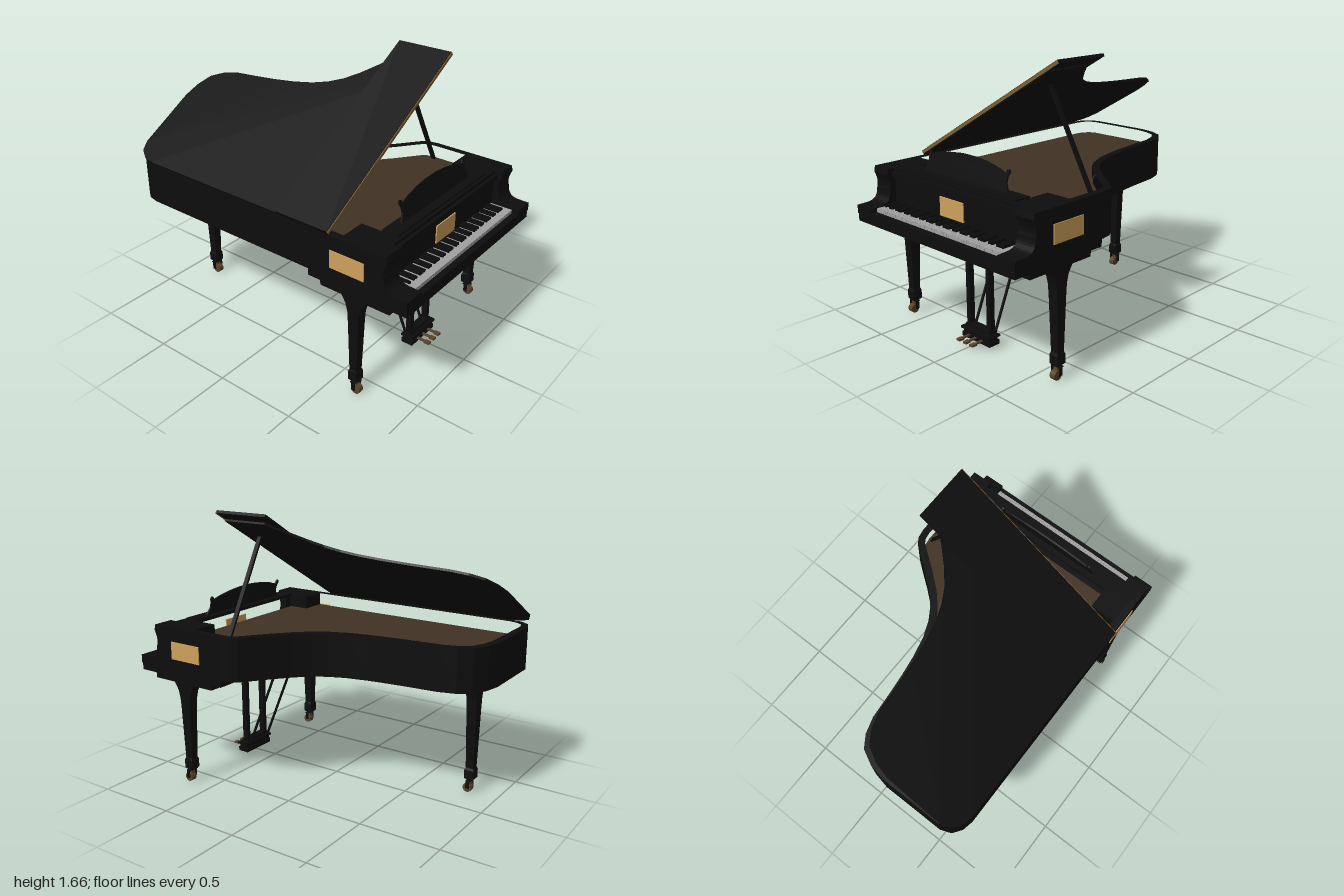
import * as THREE from 'three';
import { mergeGeometries } from 'three/addons/utils/BufferGeometryUtils.js';

const mat = (name, color) => Object.assign(new THREE.MeshStandardMaterial({ color }), { name });

export function createModel() {
  const black = mat('black lacquer', 0x0d0d0d);
  const brown = mat('soundboard brown', 0x413223);
  const gold = mat('gold plate', 0xcfa15c);
  const brass = mat('aged brass', 0x58432a);
  const trim = mat('lid edge brass', 0x7c5d32);
  const ivory = mat('ivory keys', 0xa2a2a2);

  const model = new THREE.Group();
  model.name = 'grandPiano';
  const add = (name, geo, material, parent = model) => {
    const m = new THREE.Mesh(geo, material);
    m.name = name;
    parent.add(m);
    return m;
  };
  // Box given by its min and max along each axis
  const span = (x0, x1, y0, y1, z0, z1) =>
    new THREE.BoxGeometry(x1 - x0, y1 - y0, z1 - z0)
      .translate((x0 + x1) / 2, (y0 + y1) / 2, (z0 + z1) / 2);
  const shapeOf = pts => new THREE.Shape(pts.map(([x, z]) => new THREE.Vector2(x, -z)));
  // Plan shape (x, z) raised from y0 to y1
  const slab = (shape, y0, y1) =>
    new THREE.ExtrudeGeometry(shape, { depth: y1 - y0, bevelEnabled: false })
      .rotateX(-Math.PI / 2).translate(0, y0, 0);
  // Straight bar between two points
  const bar = (a, b, w, d) => {
    const A = new THREE.Vector3(...a), B = new THREE.Vector3(...b);
    const dir = B.clone().sub(A);
    const g = new THREE.BoxGeometry(w, dir.length(), d);
    g.applyQuaternion(new THREE.Quaternion().setFromUnitVectors(
      new THREE.Vector3(0, 1, 0), dir.clone().normalize()));
    const c = A.add(B).multiplyScalar(0.5);
    return g.translate(c.x, c.y, c.z);
  };

  // Plan of the case: straight spine, rounded tail, bent side
  const tail = [[-0.66, -0.85], [-0.645, -0.92], [-0.605, -0.975], [-0.54, -1], [-0.14, -1],
    [-0.04, -0.98], [0.05, -0.935], [0.1, -0.86], [0.13, -0.76], [0.145, -0.6], [0.16, -0.47],
    [0.18, -0.34], [0.21, -0.21], [0.25, -0.11], [0.3, -0.03], [0.37, 0.045], [0.47, 0.13], [0.575, 0.21]];
  const outline = [[-0.66, 0.82], ...tail, [0.625, 0.25], [0.65, 0.29], [0.66, 0.35], [0.66, 0.82]];
  const inset = (pts, d) => pts.map(([x, z], i) => {
    const a = pts[Math.max(i - 1, 0)], b = pts[Math.min(i + 1, pts.length - 1)];
    const tx = b[0] - a[0], tz = b[1] - a[1], l = Math.hypot(tx, tz);
    return [x - d * tz / l, Math.min(z + d * tx / l, 0.7)];
  });

  // Case
  const rim = shapeOf(outline);
  rim.holes.push(shapeOf(inset(outline, 0.045)));
  add('rim', slab(rim, 0.72, 0.98), black);
  add('caseBottom', slab(shapeOf(outline), 0.72, 0.74), black);
  add('soundboard', slab(shapeOf(inset(outline, 0.04)), 0.89, 0.9), brown);
  add('keybed', span(-0.655, 0.655, 0.675, 0.745, 0.36, 0.998), black);

  // Arms with a curved front, corner blocks and side plates
  const arm = new THREE.Shape();
  arm.moveTo(0.8, 0.72);
  arm.lineTo(1, 0.72);
  arm.lineTo(1, 0.77);
  arm.lineTo(0.93, 0.772);
  arm.bezierCurveTo(0.88, 0.775, 0.86, 0.8, 0.858, 0.85);
  arm.bezierCurveTo(0.845, 0.89, 0.86, 0.92, 0.872, 0.945);
  arm.lineTo(0.865, 0.98);
  arm.lineTo(0.8, 0.98);
  for (const s of [-1, 1]) {
    const g = new THREE.ExtrudeGeometry(arm, { depth: 0.13, bevelEnabled: false, curveSegments: 8 });
    add('arm', g.rotateY(-Math.PI / 2).translate(s > 0 ? 0.66 : -0.53, 0, 0), black);
    const block = new THREE.BoxGeometry(0.16, 0.1, 0.14).translate(s * 0.54, 0.93, 0.64);
    add('cornerBlock', block, black);
    add('sidePlate', new THREE.BoxGeometry(0.006, 0.108, 0.22).translate(s * 0.662, 0.84, 0.625), gold);
  }
  add('fallboardRail', span(-0.53, 0.53, 0.93, 0.96, 0.81, 0.84), black);
  add('frontPlate', span(-0.115, 0.08, 0.787, 0.897, 0.819, 0.827), gold);

  // Keyboard
  const whites = [], blacks = [], pitch = 1.045 / 52;
  for (let i = 0; i < 52; i++) {
    const x = -0.525 + i * pitch;
    whites.push(span(x + 0.0006, x + pitch - 0.0006, 0.744, 0.768, 0.82, 0.96));
    if ([0, 2, 3, 5, 6].includes(i % 7) && i < 51)
      blacks.push(span(x + pitch - 0.006, x + pitch + 0.006, 0.76, 0.782, 0.82, 0.915));
  }
  add('whiteKeys', mergeGeometries(whites), ivory);
  add('blackKeys', mergeGeometries(blacks), black);

  // Music desk
  add('deskShelf', span(-0.46, 0.46, 0.975, 0.99, 0.7, 0.8), black);
  const half = [[0.345, 0], [0.335, 0.025], [0.322, 0.05], [0.322, 0.085], [0.333, 0.105],
    [0.328, 0.122], [0.313, 0.12], [0.303, 0.098], [0.25, 0.115], [0.15, 0.135], [0.06, 0.144]];
  const desk = new THREE.Shape([...half, ...half.map(([x, y]) => [-x, y]).reverse()]
    .map(p => new THREE.Vector2(...p)));
  const deskMesh = add('musicDesk', new THREE.ExtrudeGeometry(desk, { depth: 0.01, bevelEnabled: false }), black);
  deskMesh.position.set(0, 0.988, 0.738);
  deskMesh.rotation.x = -0.27;

  // Raised lid with its front flap folded back on top
  const lid = new THREE.Group();
  lid.name = 'lid';
  lid.position.set(-0.66, 0.979, 0);
  lid.rotation.z = Math.PI / 6;
  model.add(lid);
  const lidPlan = [[-0.66, 0.505], ...tail, [0.575, 0.505]].map(([x, z]) => [x + 0.66, z]);
  add('mainLid', slab(shapeOf(lidPlan), 0, 0.014), black, lid);
  add('frontFlap', span(0, 1.32, 0.012, 0.029, 0.15, 0.506), black, lid);
  add('flapEdge', span(0, 1.32, 0.008, 0.026, 0.505, 0.511), trim, lid);
  add('lidProp', bar([0.6, 0.9, 0.355], [0.275, 1.5, 0.355], 0.014, 0.026), black);

  // Legs: flared outline, tapered across, on casters
  const leg = (name, x, z, top, turn) => {
    const g = new THREE.Group();
    g.name = name;
    g.position.set(x, 0, z);
    model.add(g);
    const side = [[0.023, 0.085], [0.03, 0.092], [0.03, 0.145], [0.024, 0.16], [0.034, top - 0.17],
      [0.038, top - 0.1], [0.05, top - 0.05], [0.068, top - 0.02], [0.082, top]];
    const s = new THREE.Shape([...side, ...side.map(([a, y]) => [-a, y]).reverse()]
      .map(p => new THREE.Vector2(...p)));
    const geo = new THREE.ExtrudeGeometry(s, { depth: 0.065, bevelEnabled: false }).translate(0, 0, -0.0325);
    const p = geo.attributes.position;
    for (let i = 0; i < p.count; i++) {
      const y = p.getY(i);
      p.setZ(i, p.getZ(i) * (y < 0.15 ? (y > 0.09 ? 0.93 : 0.75) : 0.74 + 0.26 * Math.min(1, (y - 0.15) / 0.45)));
    }
    geo.computeVertexNormals();
    if (turn) geo.rotateY(Math.PI / 2);
    add('legPost', geo, black, g);
    add('casterWheel', new THREE.CylinderGeometry(0.028, 0.028, 0.036, 16)
      .rotateZ(Math.PI / 2).translate(0, 0.028, 0.014), brass, g);
    add('casterStem', span(-0.012, 0.012, 0.05, 0.09, -0.008, 0.016), brass, g);
    add('casterFork', mergeGeometries([span(-0.032, 0.032, 0.076, 0.081, -0.014, 0.018),
      span(-0.032, -0.028, 0.028, 0.078, -0.006, 0.018),
      span(0.028, 0.032, 0.028, 0.078, -0.006, 0.018)]), black, g);
  };
  for (const s of [-1, 1]) {
    leg(s > 0 ? 'frontLeftLeg' : 'frontRightLeg', s * 0.615, 0.66, 0.645, true);
    add('legBlock', new THREE.BoxGeometry(0.066, 0.04, 0.45).translate(s * 0.615, 0.66, 0.665), black);
  }
  leg('rearLeg', -0.22, -0.825, 0.695, false);
  add('rearLegBlock', span(-0.37, -0.07, 0.692, 0.722, -0.86, -0.79), black);

  // Pedal lyre
  for (const x of [-0.075, 0.095]) {
    add('lyrePost', span(x - 0.015, x + 0.015, 0.09, 0.68, 0.645, 0.68), black);
    add('lyreBrace', bar([x, 0.69, 0.375], [x, 0.07, 0.635], 0.012, 0.012), black);
  }
  add('lyreCrossbar', span(-0.07, 0.09, 0.565, 0.583, 0.652, 0.673), black);
  add('pedalBox', mergeGeometries([span(-0.108, 0.128, 0.022, 0.05, 0.63, 0.705),
    span(-0.1, 0.12, 0.05, 0.088, 0.635, 0.7),
    span(-0.115, 0.135, 0.072, 0.084, 0.628, 0.71),
    span(-0.09, 0.11, 0.084, 0.106, 0.64, 0.69)]), black);
  for (const x of [-0.045, 0.01, 0.065]) {
    add('pedal', mergeGeometries([span(x - 0.007, x + 0.007, 0.04, 0.05, 0.69, 0.76),
      span(x - 0.014, x + 0.014, 0.038, 0.05, 0.755, 0.79)]), brass);
  }
  return model;
}
